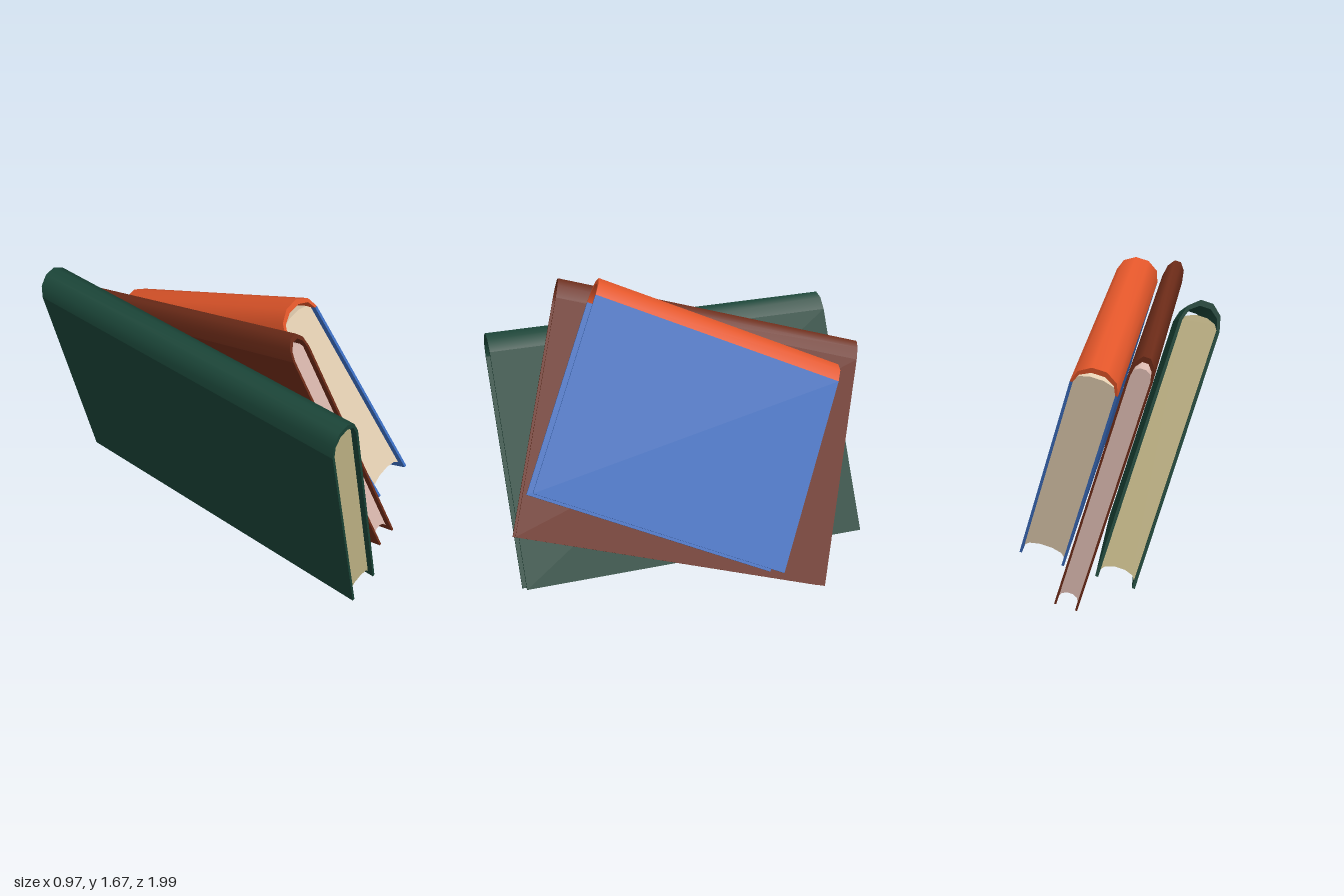
import * as THREE from 'three';
import { toCreasedNormals } from 'three/addons/utils/BufferGeometryUtils.js';

const ARC_STEPS = 5;

// Points of a half ellipse from +x over the top to -x
function arc(halfWidth, height, baseY) {
  const points = [];
  for (let i = 0; i <= ARC_STEPS; i++) {
    const a = (Math.PI * i) / ARC_STEPS;
    points.push(new THREE.Vector2(halfWidth * Math.cos(a), baseY + height * Math.sin(a)));
  }
  return points;
}

function extruded(points, length) {
  const geometry = new THREE.ExtrudeGeometry(new THREE.Shape(points), { depth: length, bevelEnabled: false });
  geometry.translate(0, 0, -length / 2);
  return toCreasedNormals(geometry, 1.05);
}

function addMesh(parent, name, geometry, color) {
  const mesh = new THREE.Mesh(geometry, new THREE.MeshStandardMaterial({ color }));
  mesh.name = name;
  parent.add(mesh);
  return mesh;
}

// A hardcover book: x is its thickness, y runs from fore-edge to spine, z along the spine
function createBook({ name, thickness, height, length, board, bulge, coverColor, spineColor, pageColor, spin, position }) {
  const book = new THREE.Group();
  book.name = name;
  const half = thickness / 2;
  const top = height / 2;

  // Cover boards
  for (const side of [1, -1]) {
    const cover = addMesh(book, side > 0 ? 'leftCover' : 'rightCover',
      new THREE.BoxGeometry(board, height, length), coverColor);
    cover.position.x = side * (half - board / 2);
  }

  // Hollow rounded spine
  const outer = arc(half, bulge, top);
  const inner = arc(half - board, bulge - 0.028, top).reverse();
  addMesh(book, 'spine', extruded([...outer, ...inner], length), spineColor);

  // Page block: rounded at the spine, hollow at the fore-edge
  const pageHalf = half - board;
  const foreEdge = arc(pageHalf, 0.036, 0.03 - top).reverse();
  addMesh(book, 'pages', extruded([...arc(pageHalf, 0.042, top), ...foreEdge], length - 0.06), pageColor);

  // Shared lean of the stack, then the book's own turn in the plane of its covers
  book.rotation.set(spin, -0.024, 0.311, 'YZX');
  book.position.set(...position);
  return book;
}

export function createModel() {
  const group = new THREE.Group();
  group.name = 'leaningBooks';
  const books = [
    {
      name: 'greenBook', thickness: 0.19, height: 1.233, length: 1.855, board: 0.014, bulge: 0.115,
      coverColor: 0x1a4437, spineColor: 0x1a4437, pageColor: 0xc4b788,
      spin: 0.079, position: [-0.21, 0.744, 0.022],
    },
    {
      name: 'brownBook', thickness: 0.117, height: 1.235, length: 1.668, board: 0.011, bulge: 0.115,
      coverColor: 0x6c2b18, spineColor: 0x6c2b18, pageColor: 0xdcbab0,
      spin: -0.245, position: [-0.035, 0.785, 0.001],
    },
    {
      name: 'blueBook', thickness: 0.235, height: 1.033, length: 1.343, board: 0.013, bulge: 0.11,
      coverColor: 0x3b6dc0, spineColor: 0xe2562a, pageColor: 0xe4cfb2,
      spin: -0.385, position: [0.133, 0.877, 0.08],
    },
  ];
  for (const spec of books) group.add(createBook(spec));
  return group;
}
